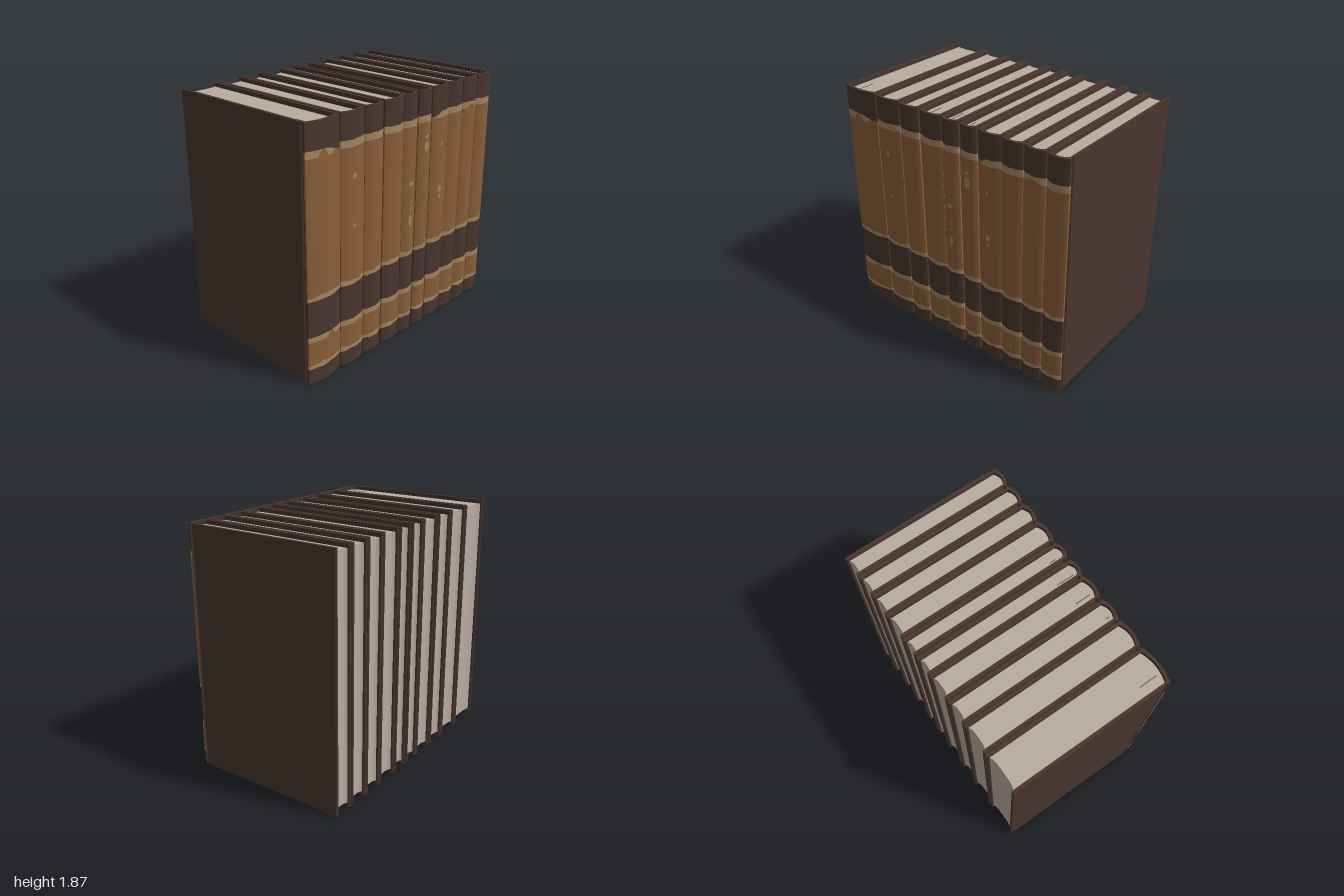
import * as THREE from 'three';
import { toCreasedNormals } from 'three/addons/utils/BufferGeometryUtils.js';

const mat = (name, color) => new THREE.MeshStandardMaterial({ name, color });
const H = 1.87, BACK = -0.64, BOARD = 0.023, INSET = 0.03;

// left and right edge of every book
const BOOKS = [[-1, -0.698], [-0.687, -0.462], [-0.452, -0.273], [-0.254, -0.057], [-0.051, 0.096],
  [0.115, 0.259], [0.273, 0.466], [0.471, 0.642], [0.65, 0.82], [0.829, 0.998]];

// worn spots on the spines: book, x, y, half width, half height
const SPOTS = [[1, -0.58, 1.43, 0.017, 0.022], [1, -0.58, 1.075, 0.013, 0.014], [4, 0.022, 1.206, 0.026, 0.016],
  [4, 0.03, 1.07, 0.008, 0.017], [4, 0.03, 1.013, 0.01, 0.012], [4, 0.022, 0.915, 0.017, 0.042],
  [5, 0.185, 1.525, 0.022, 0.012], [5, 0.187, 1.45, 0.025, 0.04], [6, 0.365, 1.432, 0.01, 0.02],
  [6, 0.367, 1.075, 0.018, 0.028], [6, 0.367, 1.015, 0.017, 0.015], [7, 0.57, 0.225, 0.01, 0.01],
  [8, 0.735, 0.225, 0.006, 0.01]];

// ink marks on the page tops: x, z start, z end
const MARKS = [[-0.905, 0.44, 0.58], [-0.395, 0.555, 0.585], [-0.19, 0.46, 0.58], [-0.005, 0.44, 0.58], [0.16, 0.5, 0.55]];

// rounded spine outline, [x, z] from left to right, pushed outward by off
function spineLine(cx, hw, off = 0, n = 24) {
  const pts = [[cx - hw - off, 0.602]];
  for (let i = 0; i <= n; i++) {
    const t = (i / n) * 2 - 1;
    pts.push([cx + t * (hw + off), 0.614 + 0.025 * (1 - t * t) + off]);
  }
  pts.push([cx + hw + off, 0.602]);
  return pts;
}

// vertical extrusion of a plan outline given as [x, z]
function extrudeUp(pts, y0, y1) {
  const shape = new THREE.Shape(pts.map(([x, z]) => new THREE.Vector2(x, -z)));
  const g = new THREE.ExtrudeGeometry(shape, { depth: y1 - y0, bevelEnabled: false });
  g.rotateX(-Math.PI / 2).translate(0, y0, 0);
  return toCreasedNormals(g, 0.5);
}

// painted strip following a line of [x, z], between two height rules of u
function strip(line, low, high) {
  const pos = [], idx = [];
  line.forEach(([x, z], i) => {
    const u = i / (line.length - 1);
    pos.push(x, low(u), z, x, high(u), z);
    if (i) {
      const b = 2 * i - 2;
      idx.push(b, b + 2, b + 3, b, b + 3, b + 1);
    }
  });
  const g = new THREE.BufferGeometry();
  g.setAttribute('position', new THREE.Float32BufferAttribute(pos, 3));
  g.setIndex(idx);
  return toCreasedNormals(g, 0.5);
}

const wave = (y, amp, seed) => (u) =>
  y + amp * (0.6 * Math.sin(u * 7 + seed * 2.3) + 0.4 * Math.sin(u * 17 + seed * 4.1));
const bump = (u, c, w) => Math.max(0, 1 - ((u - c) / w) ** 2);

export function createModel() {
  const leather = mat('darkLeather', 0x49362e);
  const tan = mat('brownLeather', 0x8a5e39);
  const worn = mat('wornLeather', 0xa48560);
  const paper = mat('paper', 0xb8aca0);
  const ink = mat('inkMark', 0x75695f);
  const root = new THREE.Group();
  root.name = 'bookRow';

  BOOKS.forEach(([xl, xr], b) => {
    const cx = (xl + xr) / 2, hw = (xr - xl) / 2;
    const book = new THREE.Group();
    book.name = 'book' + (b + 1);
    const add = (name, geo, m) => {
      const mesh = new THREE.Mesh(geo, m);
      mesh.name = name;
      book.add(mesh);
    };

    // cover: two boards, hinge grooves and curved spine in one outline
    const side = (s) => [
      [cx + s * (hw - BOARD), 0.57], [cx + s * (hw - BOARD), BACK + 0.008], [cx + s * (hw - BOARD * 0.7), BACK],
      [cx + s * (hw - BOARD * 0.3), BACK], [cx + s * hw, BACK + 0.008], [cx + s * hw, 0.573],
      [cx + s * (hw - 0.01), 0.582], [cx + s * (hw - 0.01), 0.594]];
    const inner = spineLine(cx, hw - BOARD, 0, 16).slice(1, -1).map(([x, z]) => [x, z - 0.021]);
    add('cover', extrudeUp([...side(-1), ...spineLine(cx, hw), ...side(1).reverse(), ...inner.reverse()], 0, H), leather);

    // page block with hollow fore edge
    const pw = hw - BOARD + 0.001, pages = [];
    for (let i = 0; i <= 12; i++) {
      const t = i / 6 - 1;
      pages.push([cx + t * pw, -0.622 + 0.016 * (1 - t ** 4)]);
    }
    for (let i = 12; i >= 0; i--) {
      const t = i / 6 - 1;
      pages.push([cx + t * pw, 0.592 + 0.025 * (1 - t * t)]);
    }
    add('pages', extrudeUp(pages, INSET, H - INSET), paper);

    // worn borders first, brown panels over them
    const base = spineLine(cx, hw, 0.001), over = spineLine(cx, hw, 0.002);
    const topEdge = (u) => wave(1.682, 0.003, b)(u)
      - (b === 0 ? 0.035 * THREE.MathUtils.smoothstep(u, 0.55, 0.95) : 0)
      - (b === 6 ? 0.045 * (1 - THREE.MathUtils.smoothstep(u, 0.05, 0.5)) : 0);
    const panelTop = (u) => Math.min(topEdge(u) - 0.001, wave(1.632, 0.002, b)(u)
      + (b === 0 ? 0.05 * (bump(u, 0.45, 0.13) + bump(u, 0.9, 0.18)) : 0)
      + (b === 8 ? 0.03 * bump(u, 0.5, 0.25) : 0));
    const lowTop = (u) => wave(0.322, 0.004, b + 3)(u) + (b === 0 ? 0.036 * bump(u, 0.63, 0.12) : 0);
    add('upperBorder', strip(base, wave(0.635, 0.004, b), topEdge), worn);
    add('lowerBorder', strip(base, wave(0.115, 0.006, b + 1), wave(0.362, 0.003, b)), worn);
    add('upperPanel', strip(over, wave(0.669, 0.008, b + 2), panelTop), tan);
    add('lowerPanel', strip(over, wave(0.147, 0.007, b + 5), lowTop), tan);

    // worn spots lying on the spine curve
    for (const [k, x, y, rx, ry] of SPOTS) {
      if (k !== b) continue;
      const line = [];
      for (let i = 0; i <= 12; i++) {
        const px = x - rx * Math.cos((Math.PI * i) / 12), t = (px - cx) / hw;
        line.push([px, 0.6175 + 0.025 * (1 - t * t)]);
      }
      const r = (u) => ry * Math.sin(Math.PI * u);
      add('wornSpot', strip(line, (u) => y - r(u), (u) => y + r(u)), worn);
    }

    // thin marks on the page top
    for (const [x, z0, z1] of MARKS) {
      if (x < xl || x > xr) continue;
      const g = new THREE.BoxGeometry(0.008, 0.002, z1 - z0);
      add('pageMark', g.translate(x, H - INSET + 0.001, (z0 + z1) / 2), ink);
    }
    root.add(book);
  });
  return root;
}
